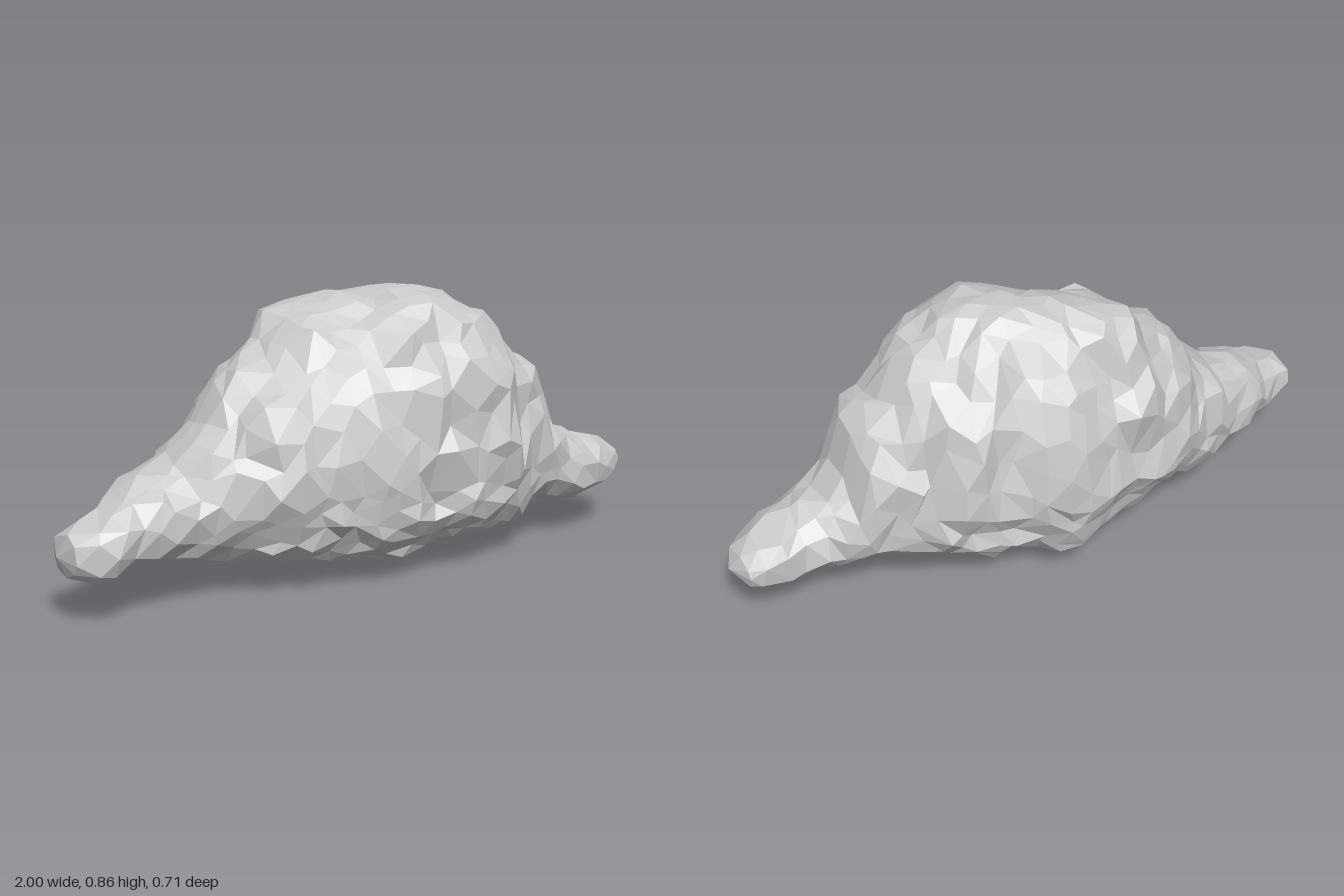
import * as THREE from 'three';

// Outline stations along the length: x, bottom y, top y, back z, front z, sideways lean of the crest
const STATIONS = [
  [-0.98, 0.14, 0.27, -0.07, 0.08, 0], [-0.9, 0.115, 0.305, -0.09, 0.15, 0], [-0.84, 0.12, 0.325, -0.13, 0.145, 0],
  [-0.78, 0.13, 0.385, -0.16, 0.115, 0], [-0.6, 0.1, 0.43, -0.22, 0.13, 0], [-0.5, 0.09, 0.56, -0.24, 0.18, 0],
  [-0.4, 0.075, 0.66, -0.285, 0.23, -0.02], [-0.3, 0.065, 0.73, -0.3, 0.275, -0.04], [-0.2, 0.045, 0.815, -0.33, 0.29, -0.07],
  [0, 0.005, 0.845, -0.36, 0.34, 0], [0.1, 0.02, 0.875, -0.35, 0.33, 0.07], [0.2, 0.025, 0.865, -0.28, 0.34, 0.06],
  [0.3, 0.04, 0.83, -0.255, 0.35, 0.03], [0.39, 0.06, 0.79, -0.23, 0.335, 0.02], [0.46, 0.07, 0.66, -0.18, 0.29, 0.02],
  [0.58, 0.1, 0.6, -0.1, 0.26, 0], [0.65, 0.11, 0.385, -0.07, 0.25, 0], [0.8, 0.1, 0.32, -0.025, 0.245, 0],
  [0.9, 0.12, 0.295, -0.03, 0.21, 0], [0.97, 0.15, 0.255, 0.0, 0.16, 0],
];
const FACET = 0.075;

function seeded(seed) {
  return () => {
    seed = (seed * 1664525 + 1013904223) % 4294967296;
    return seed / 4294967296;
  };
}

function sectionAt(x) {
  let k = 0;
  while (k < STATIONS.length - 2 && STATIONS[k + 1][0] < x) k++;
  const a = STATIONS[k], b = STATIONS[k + 1];
  const t = THREE.MathUtils.clamp((x - a[0]) / (b[0] - a[0]), 0, 1);
  return a.map((v, i) => THREE.MathUtils.lerp(v, b[i], t));
}

const roundPow = (v) => Math.sign(v) * Math.abs(v) ** 0.9;

// Point on the rounded cross-section: widest low down, moved in or out by an offset
function surfacePoint(x, angle, offset) {
  const [, bottom, top, back, front, lean] = sectionAt(x);
  const height = top - bottom;
  const cy = bottom + height * (0.5 - 0.2 * height);
  const s = roundPow(Math.sin(angle)), c = roundPow(Math.cos(angle));
  const y = cy + s * ((s > 0 ? top - cy : cy - bottom) + offset);
  const z = (back + front) / 2 + c * ((front - back) / 2 + offset);
  return [x, y, z + lean * Math.max(s, 0) ** 1.5];
}

// Knobbly swellings over the rock, from -1 to 1
const lumps = ([x, y, z]) => (
  Math.sin(x * 27 + y * 11) + Math.sin(y * 29 - z * 13 + 1) + Math.sin(z * 26 + x * 14 + 2)) / 3;

// Ring positions, closer together where the flanks are steep
function ringStations() {
  const xs = [];
  for (let x = -0.98; x < 0.94;) {
    xs.push(x);
    const slope = (sectionAt(x + 0.05)[2] - sectionAt(x)[2]) / 0.05;
    x += 0.062 / Math.hypot(1, slope * 0.5);
  }
  return [...xs, 0.97];
}

function rockGeometry() {
  const rand = seeded(41);
  const positions = [], index = [];

  // Rings of jittered points, with fewer points where the rock is thin
  const xs = ringStations();
  const rings = xs.map((x, i) => {
    const [, bottom, top, back, front] = sectionAt(x);
    const n = Math.max(8, Math.round(Math.PI * (top - bottom + front - back) / 2 / FACET));
    const end = i === 0 || i === xs.length - 1;
    const jitter = end ? 0 : 0.7 * Math.min(xs[i + 1] - x, x - xs[i - 1]);
    const relief = Math.min(1, (top - bottom) * 2);
    const shift = (i % 2) * 0.5;
    return Array.from({ length: n }, (_, j) => {
      const angle = ((j + shift + (rand() - 0.5) * 0.6) / n) * Math.PI * 2;
      const px = x + (rand() - 0.5) * jitter;
      const bump = 0.026 * lumps(surfacePoint(px, angle, 0)) + 0.028 * (rand() - 0.5) - 0.012;
      const id = positions.length / 3;
      positions.push(...surfacePoint(px, angle, bump * relief));
      return { id, turn: (j + shift) / n };
    });
  });

  // Zip neighbouring rings together, always advancing the one that lags
  const turn = (ring, k) => ring[k % ring.length].turn + Math.floor(k / ring.length);
  for (let i = 0; i < rings.length - 1; i++) {
    const A = rings[i], B = rings[i + 1];
    let a = 0, b = 0;
    while (a < A.length || b < B.length) {
      const p = A[a % A.length].id, q = B[b % B.length].id;
      const stepA = b >= B.length || (a < A.length && turn(A, a + 1) < turn(B, b + 1));
      if (stepA) index.push(p, q, A[++a % A.length].id);
      else index.push(p, q, B[++b % B.length].id);
    }
  }

  // Blunt tips
  const tips = [[rings[0], [-1, 0.2, -0.01], true], [rings.at(-1), [1, 0.2, 0.09], false]];
  for (const [ring, point, right] of tips) {
    const tip = positions.length / 3;
    positions.push(...point);
    ring.forEach((v, j) => {
      const next = ring[(j + 1) % ring.length].id;
      index.push(tip, ...(right ? [v.id, next] : [next, v.id]));
    });
  }

  const geometry = new THREE.BufferGeometry();
  geometry.setAttribute('position', new THREE.Float32BufferAttribute(positions, 3));
  geometry.setIndex(index);
  const flat = geometry.toNonIndexed();
  flat.computeVertexNormals();
  return flat;
}

export function createModel() {
  const group = new THREE.Group();
  group.name = 'rockFormation';
  const material = new THREE.MeshStandardMaterial({ color: 0xcccccc, flatShading: true });
  const rock = new THREE.Mesh(rockGeometry(), material);
  rock.name = 'rock';
  group.add(rock);
  return group;
}
